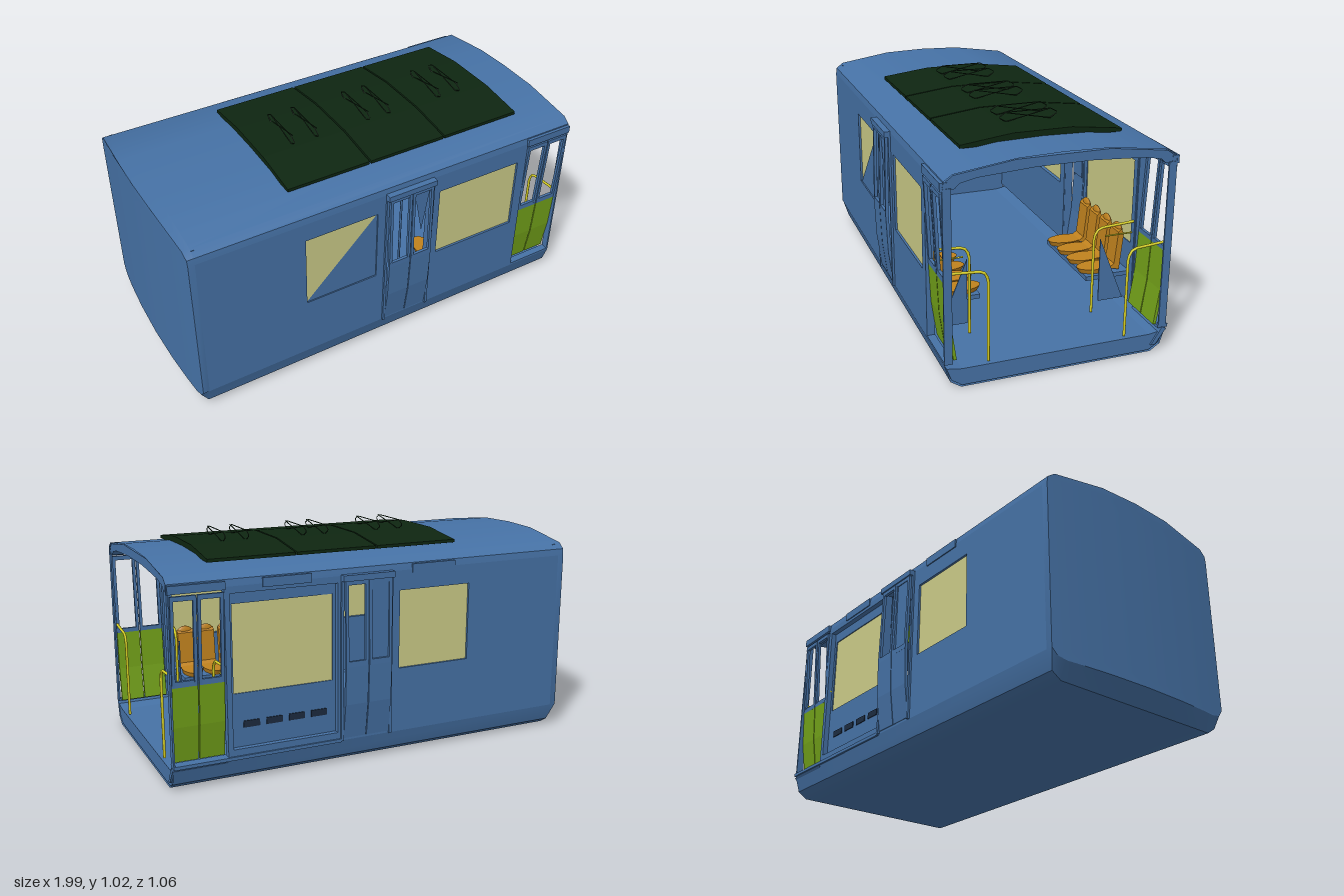
import * as THREE from 'three';
import { toCreasedNormals } from 'three/addons/utils/BufferGeometryUtils.js';

const mat = (name, color) => new THREE.MeshStandardMaterial({ name, color, side: THREE.DoubleSide });
const M = {
  blue: mat('bodyBlue', 0x4672a6), pane: mat('paleYellowGlass', 0xcccc88), grey: mat('endDoorGrey', 0xc9c9c9),
  roof: mat('roofDarkGreen', 0x0e2611), green: mat('doorGreen', 0x74a31a), seat: mat('seatOrange', 0xc0821e),
  rail: mat('railYellow', 0xd8d024), slot: mat('slotDark', 0x1c2b40),
};

// Half of the body cross-section as [z, y], bottom centre to roof centre
const HALF = [[0, 0], [0.2, 0], [0.35, 0], [0.43, 0], [0.475, 0.03], [0.5, 0.11],
  [0.5, 0.86], [0.495, 0.89], [0.46, 0.915], [0.2, 0.95], [0, 0.955]];
const WALL = 5; // index of the segment replaced by the side walls
const endPoint = (z, y) => [-0.97 - 0.03 * (1 - (z / 0.5) ** 2), y < 0.11 ? 0.07 + 0.36 * y : y, z];

export function createModel() {
  const root = new THREE.Group();
  root.name = 'railCar';

  const add = (name, geo, m, parent = root) => {
    const mesh = new THREE.Mesh(geo, m);
    mesh.name = name;
    parent.add(mesh);
    return mesh;
  };
  // Box given by its min and max on each axis
  const box = (name, m, x0, x1, y0, y1, z0, z1, parent) => {
    const b = add(name, new THREE.BoxGeometry(x1 - x0, y1 - y0, Math.abs(z1 - z0)), m, parent);
    b.position.set((x0 + x1) / 2, (y0 + y1) / 2, (z0 + z1) / 2);
    return b;
  };
  const fromQuads = (quads, crease = 0.6) => {
    const p = [];
    quads.forEach(([a, b, c, d]) => p.push(...a, ...b, ...c, ...a, ...c, ...d));
    const g = new THREE.BufferGeometry();
    g.setAttribute('position', new THREE.Float32BufferAttribute(p, 3));
    return toCreasedNormals(g, crease);
  };
  const poly = (pts) => new THREE.Shape(pts.map(([a, b]) => new THREE.Vector2(a, b)));
  const rect = (x0, x1, y0, y1) => poly([[x0, y0], [x1, y0], [x1, y1], [x0, y1]]);
  // Plate in the xy plane with rectangular holes, back face at z
  const wallPlate = (name, m, outer, holes, z, depth, parent) => {
    const s = rect(...outer);
    holes.forEach((h) => s.holes.push(rect(...h)));
    const w = add(name, new THREE.ExtrudeGeometry(s, { depth, bevelEnabled: false }), m, parent);
    w.position.z = z;
    return w;
  };
  // Profile given as [z, y], extruded along x from x0 to x1
  const alongX = (name, m, pts, x0, x1, parent) => {
    const g = new THREE.ExtrudeGeometry(poly(pts.map(([z, y]) => [-z, y])), { depth: x1 - x0, bevelEnabled: false });
    g.rotateY(Math.PI / 2);
    const e = add(name, g, m, parent);
    e.position.x = x0;
    return e;
  };
  const tube = (name, m, pts, r, parent) => {
    const path = new THREE.CurvePath();
    const v = pts.map((p) => new THREE.Vector3(...p));
    for (let i = 1; i < v.length; i++) path.add(new THREE.LineCurve3(v[i - 1], v[i]));
    return add(name, new THREE.TubeGeometry(path, (v.length - 1) * 6, r, 6), m, parent);
  };
  const mirror = (pts) => [...pts, ...pts.slice().reverse().map(([z, y]) => [-z, y])];

  // Roof, belly and rounded corners at the closed end
  const shell = [];
  for (const s of [1, -1]) {
    for (let i = 0; i < HALF.length - 1; i++) {
      const [[za, ya], [zb, yb]] = [HALF[i], HALF[i + 1]];
      const a = (x) => [x, ya, s * za], b = (x) => [x, yb, s * zb];
      const ea = endPoint(s * za, ya), eb = endPoint(s * zb, yb);
      const put = (q) => shell.push(s > 0 ? q : q.reverse());
      if (i !== WALL) put([a(-0.94), a(0.98), b(0.98), b(-0.94)]);
      put([ea, a(-0.94), b(-0.94), eb]);
    }
  }
  add('bodyShell', fromQuads(shell), M.blue);

  // Bulged closed end
  const cap = [], T = [-1, -0.81, -0.465, 0, 0.465, 0.81, 1];
  for (let i = 3; i < HALF.length - 1; i++) {
    const [[za, ya], [zb, yb]] = [HALF[i], HALF[i + 1]];
    for (let k = 0; k < T.length - 1; k++) {
      cap.push([endPoint(za * T[k], ya), endPoint(za * T[k + 1], ya),
        endPoint(zb * T[k + 1], yb), endPoint(zb * T[k], yb)]);
    }
  }
  add('closedEnd', fromQuads(cap), M.blue);

  // Solid ceiling and floor inside the shell
  alongX('ceiling', M.blue, [...mirror([[0.495, 0.855], [0.49, 0.885], [0.455, 0.91], [0.2, 0.945]]),
    ...mirror([[0.45, 0.855], [0.43, 0.875], [0.36, 0.89], [0.12, 0.905]].map(([z, y]) => [-z, y]))], -0.93, 0.976);
  alongX('floor', M.blue, mirror([[0.425, 0.005], [0.47, 0.035], [0.49, 0.09], [0.425, 0.08]]), -0.93, 0.976);
  box('innerEndWall', M.blue, -0.94, -0.925, 0.06, 0.91, -0.47, 0.47);

  // Rounded grey door on the inner end wall
  const d = new THREE.Shape();
  d.moveTo(-0.11, 0.125).lineTo(0.13, 0.125).quadraticCurveTo(0.16, 0.13, 0.16, 0.15)
    .lineTo(0.16, 0.7).quadraticCurveTo(0.155, 0.78, 0.08, 0.78).lineTo(-0.06, 0.78)
    .quadraticCurveTo(-0.14, 0.775, -0.14, 0.7).lineTo(-0.14, 0.15).quadraticCurveTo(-0.14, 0.13, -0.11, 0.125);
  const endDoor = add('endDoor', new THREE.ShapeGeometry(d, 8).rotateY(Math.PI / 2), M.grey);
  endDoor.position.x = -0.921;

  // Side walls, the back one with a recessed bay
  const smallWin = [-0.44, -0.08, 0.41, 0.77], bigWin = [0.25, 0.69, 0.41, 0.77];
  const midDoor = [-0.03, 0.2, 0.12, 0.84], endDoorway = [0.738, 0.972, 0.12, 0.85];
  const wall = [-0.94, 0.98, 0.11, 0.86];
  wallPlate('frontWall', M.blue, wall, [smallWin, midDoor, bigWin, endDoorway], 0.465, 0.035);
  wallPlate('backWall', M.blue, wall, [smallWin, midDoor, [0.225, 0.715, 0.15, 0.83], endDoorway], -0.5, 0.035);
  wallPlate('backBayPanel', M.blue, [0.21, 0.73, 0.12, 0.85], [[0.24, 0.7, 0.39, 0.78]], -0.475, 0.015);
  const glass = (w, z) => box('windowPane', M.pane, w[0], w[1], w[2], w[3], z - 0.003, z + 0.003);
  glass(smallWin, 0.487); glass(bigWin, 0.487); glass(smallWin, -0.487);
  glass([0.24, 0.7, 0.39, 0.78], -0.467);
  const blind = add('windowBlind', new THREE.ShapeGeometry(poly([[-0.44, 0.41], [-0.08, 0.41], [-0.08, 0.77]])), M.blue);
  blind.position.z = 0.494;
  for (let i = 0; i < 4; i++) {
    const x = 0.27 + i * 0.105;
    box('baySlot', M.slot, x, x + 0.075, 0.235, 0.265, -0.479, -0.474);
  }
  box('baySill', M.blue, 0.21, 0.98, 0.105, 0.12, -0.508, -0.46);
  for (const x of [-0.36, 0.35]) box('signBox', M.blue, x, x + 0.22, 0.845, 0.885, -0.505, -0.485);

  // Door leaf: framed open window above, slanted panel below
  const leaf = (g, x0, x1, zLow, zMid, zTop, m) => {
    const t = 0.014, f = 0.014;
    const low = [[zLow, 0.12], [(zLow + zMid) / 2 + 0.007, 0.28], [zMid, 0.46], [zMid - t, 0.46], [(zLow + zMid) / 2 - 0.007, 0.28], [zLow - t, 0.12]];
    alongX('doorLowerPanel', m, low, x0, x1, g);
    for (const [a, b] of [[x0, x0 + f], [x1 - f, x1]]) {
      alongX('doorStile', M.blue, [[zMid, 0.46], [zTop, 0.84], [zTop - t, 0.84], [zMid - t, 0.46]], a, b, g);
    }
    box('doorTopRail', M.blue, x0, x1, 0.82, 0.84, zTop - t, zTop, g);
    box('doorMidRail', M.blue, x0, x1, 0.455, 0.48, zMid - t, zMid, g);
  };
  for (const s of [1, -1]) {
    const g = new THREE.Group();
    g.name = s > 0 ? 'frontDoors' : 'backDoors';
    g.scale.z = s;
    leaf(g, -0.028, 0.084, 0.503, 0.53, 0.522, M.blue);
    leaf(g, 0.088, 0.198, 0.503, 0.53, 0.522, M.blue);
    leaf(g, 0.742, 0.853, 0.458, 0.49, 0.508, M.green);
    leaf(g, 0.858, 0.968, 0.458, 0.49, 0.508, M.green);
    box('midDoorHeader', M.blue, -0.04, 0.21, 0.838, 0.865, 0.48, 0.528, g);
    box('endDoorHeader', M.blue, 0.735, 0.978, 0.85, 0.885, 0.48, 0.51, g);
    for (const x of [-0.04, 0.2]) box('midDoorJamb', M.blue, x, x + 0.012, 0.11, 0.85, 0.47, 0.51, g);
    root.add(g);
  }
  box('doorBlindPane', M.blue, -0.02, 0.075, 0.48, 0.82, -0.518, -0.512);
  const flap = add('doorFlap', new THREE.ShapeGeometry(poly([[0.1, 0.82], [0.145, 0.6], [0.18, 0.82]])), M.blue);
  flap.position.z = 0.516;
  alongX('doorStep', M.blue, [[-0.43, 0.03], [-0.45, 0.03], [-0.5, 0.1], [-0.48, 0.11]], 0.74, 0.985);

  // Seats, partitions and grab rails on both sides
  const back = [[0.365, 0.27], [0.42, 0.26], [0.437, 0.43], [0.425, 0.455], [0.41, 0.44], [0.395, 0.29]];
  for (const s of [1, -1]) {
    const g = new THREE.Group();
    g.name = s > 0 ? 'frontInterior' : 'backInterior';
    g.scale.z = s;
    for (let i = 0; i < 4; i++) {
      const x = 0.27 + i * 0.107;
      alongX('seatBack', M.seat, back, x + 0.008, x + 0.09, g);
      const pan = add('seatPan', new THREE.CylinderGeometry(0.05, 0.042, 0.025, 14), M.seat, g);
      pan.scale.z = 1.8;
      pan.position.set(x + 0.049, 0.265, 0.32);
      const head = add('seatHead', new THREE.SphereGeometry(0.041, 12, 8), M.seat, g);
      head.scale.set(1, 0.8, 0.28);
      head.position.set(x + 0.049, 0.44, 0.427);
    }
    box('seatBeam', M.blue, 0.26, 0.7, 0.235, 0.255, 0.25, 0.465, g);
    alongX('seatPartition', M.blue, [[0.43, 0.13], [0.31, 0.13], [0.31, 0.43]], 0.7, 0.706, g);
    tube('seatRail', M.rail, [[0.71, 0.445, 0.33], [0.71, 0.445, 0.46]], 0.004, g);
    for (const [x, z] of [[0.72, s > 0 ? 0.305 : 0.27], [0.965, 0.308]]) {
      tube('grabRail', M.rail, [[x, 0.09, z], [x, 0.45, z], [x, 0.48, z + 0.012], [x, 0.492, z + 0.035], [x, 0.503, 0.485]], 0.0065, g);
    }
    box('ceilingBracket', M.green, 0.3, 0.7, 0.8, 0.9, s > 0 ? 0.2 : 0.16, s > 0 ? 0.208 : 0.168, g).scale.x = 0.05;
    root.add(g);
  }
  tube('pole', M.blue, [[0.22, 0.08, 0.243], [0.22, 0.72, 0.243]], 0.006);
  tube('poleTop', M.green, [[0.22, 0.72, 0.243], [0.22, 0.9, 0.243]], 0.006);

  // Three roof panels, each with two folded linkages
  for (const [x0, x1, ...links] of [[-0.445, -0.04, -0.29, -0.17], [-0.032, 0.352, 0.1, 0.21], [0.36, 0.76, 0.49, 0.6]]) {
    alongX('roofPanel', M.roof, mirror([[0.357, 0.938], [0.357, 0.952], [0.18, 0.974], [0.13, 0.98]]), x0, x1);
    for (const x of links) {
      tube('roofLinkage', M.roof, [[x, 0.98, -0.1], [x, 1.0, -0.135], [x, 1.02, -0.1], [x, 1.02, 0.1],
        [x, 1.0, 0.135], [x, 0.98, 0.1], [x, 1.02, -0.1]], 0.0022);
      tube('roofLinkageBrace', M.roof, [[x + 0.008, 0.98, -0.1], [x + 0.008, 1.02, 0.1]], 0.0022);
    }
  }
  return root;
}
